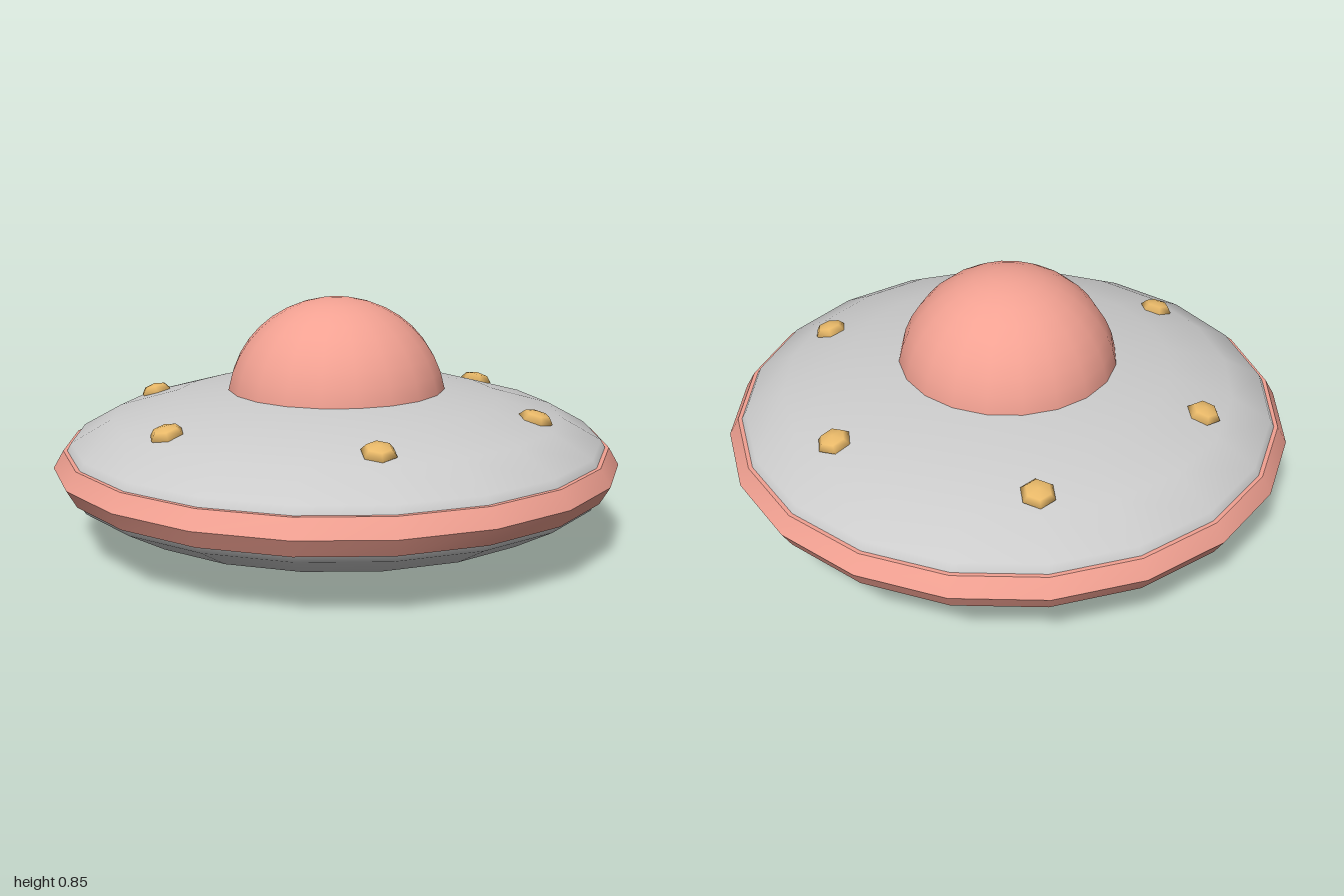
import * as THREE from 'three';
import { toCreasedNormals } from 'three/addons/utils/BufferGeometryUtils.js';

const SIDES = 20;
const MID = 0.28; // height of the widest line

function paint(color) {
  return new THREE.MeshStandardMaterial({ color });
}

function part(parent, name, geometry, material) {
  const mesh = new THREE.Mesh(geometry, material);
  mesh.name = name;
  parent.add(mesh);
  return mesh;
}

export function createModel() {
  const model = new THREE.Group();
  model.name = 'flyingSaucer';
  const grey = paint(0xcccccc);
  const pink = paint(0xf2a192);
  const amber = paint(0xe8b868);

  // Flattened sphere for the saucer body
  const hull = new THREE.SphereGeometry(1, SIDES, 10);
  hull.scale(0.985, MID, 0.985);
  part(model, 'hull', hull, grey).position.y = MID;

  // Six-sided ring around the widest line, creased along its length only
  const rim = new THREE.TorusGeometry(0.93, 0.07, 6, SIDES);
  rim.rotateX(Math.PI / 2);
  part(model, 'rim', toCreasedNormals(rim, Math.PI / 6), pink).position.y = MID;

  // Cockpit dome, its base sunk into the hull
  const dome = new THREE.SphereGeometry(0.39, SIDES, 10, 0, Math.PI * 2, 0, Math.PI / 2);
  dome.scale(1, 0.96, 1);
  part(model, 'dome', dome, pink).position.y = 0.48;

  // Six lamps spaced around the upper hull, tilted with its slope
  const lamp = new THREE.SphereGeometry(0.06, 6, 4);
  lamp.rotateY(Math.PI / 2);
  lamp.scale(1, 0.5, 1);
  const lamps = new THREE.Group();
  lamps.name = 'lamps';
  for (let i = 0; i < 6; i++) {
    const arm = new THREE.Group();
    arm.name = 'lampMount';
    arm.rotation.y = (i * Math.PI) / 3;
    const mesh = part(arm, 'lamp', lamp, amber);
    mesh.position.set(0, 0.468, 0.72);
    mesh.rotation.x = 0.25;
    lamps.add(arm);
  }
  model.add(lamps);

  return model;
}
